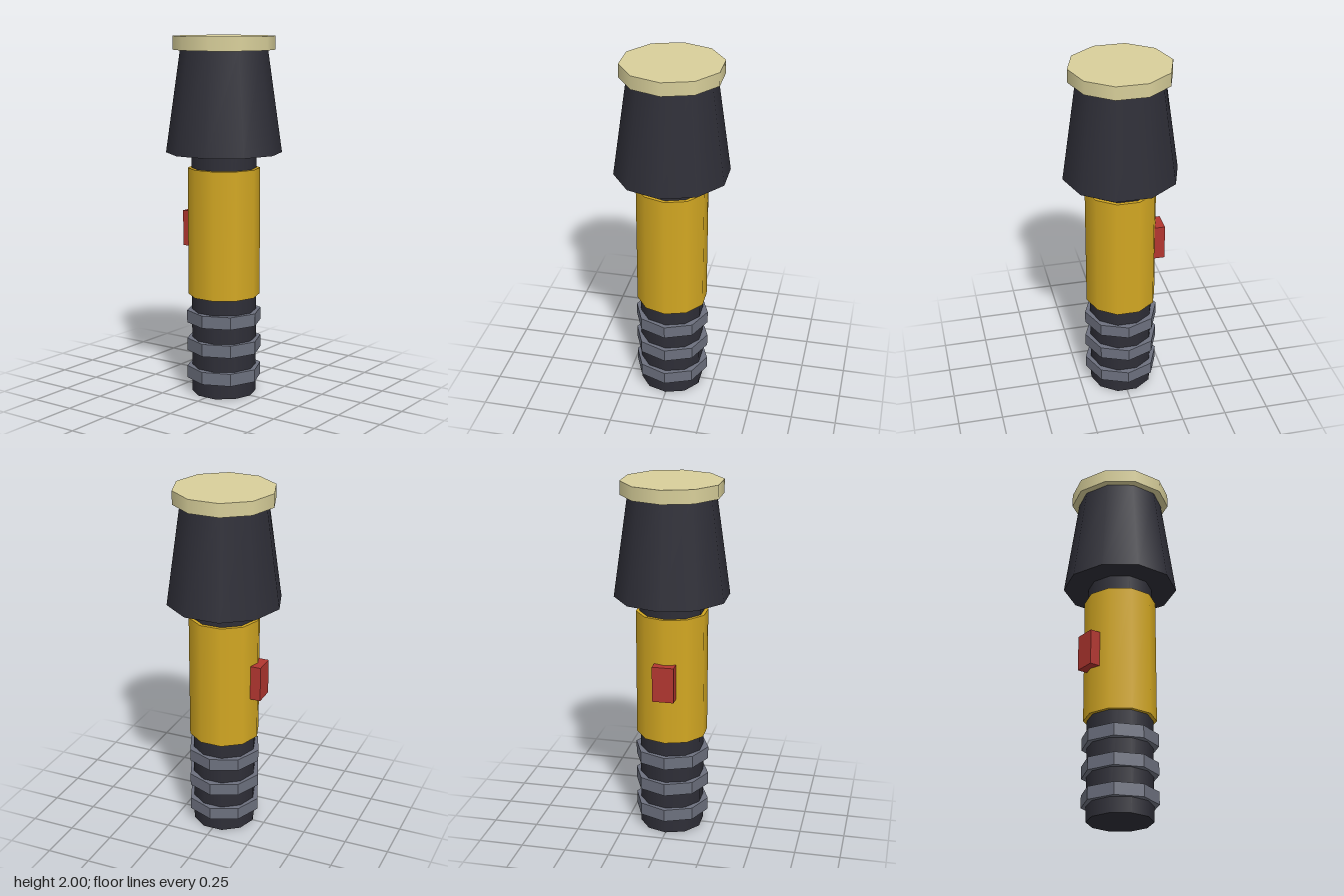
import * as THREE from 'three';

const paint = (name, color, flatShading = false) => {
  const m = new THREE.MeshStandardMaterial({ color });
  m.name = name;
  m.flatShading = flatShading;
  return m;
};

export function createModel() {
  const group = new THREE.Group();
  const black = paint('black', 0x2e2e37);
  const yellow = paint('yellow', 0xd2a722);
  const grey = paint('grey', 0x6c707e, true);
  const cream = paint('cream', 0xd8cf9a);
  const red = paint('red', 0xb23630);

  // Upright cylinder spanning y0..y1, with a corner on the z axis
  const tube = (name, material, y0, y1, rBottom, rTop = rBottom, sides = 10) => {
    const mesh = new THREE.Mesh(new THREE.CylinderGeometry(rTop, rBottom, y1 - y0, sides), material);
    mesh.position.y = (y0 + y1) / 2;
    mesh.name = name;
    group.add(mesh);
  };

  // Barrel, sleeve, flared head and lens
  tube('barrel', black, 0, 1.4, 0.18);
  tube('sleeve', yellow, 0.565, 1.28, 0.2);
  tube('head', black, 1.365, 1.925, 0.32, 0.24);
  tube('lens', cream, 1.925, 2, 0.28);

  // Octagonal grip rings
  for (let i = 0; i < 3; i++) {
    const y = 0.12 + i * 0.161;
    tube('gripRing' + (i + 1), grey, y - 0.035, y + 0.035, 0.21, 0.21, 8);
  }

  // Switch on the back of the sleeve
  const button = new THREE.Mesh(new THREE.BoxGeometry(0.12, 0.2, 0.06), red);
  button.position.set(0, 0.925, -0.21);
  button.name = 'switch';
  group.add(button);

  return group;
}
